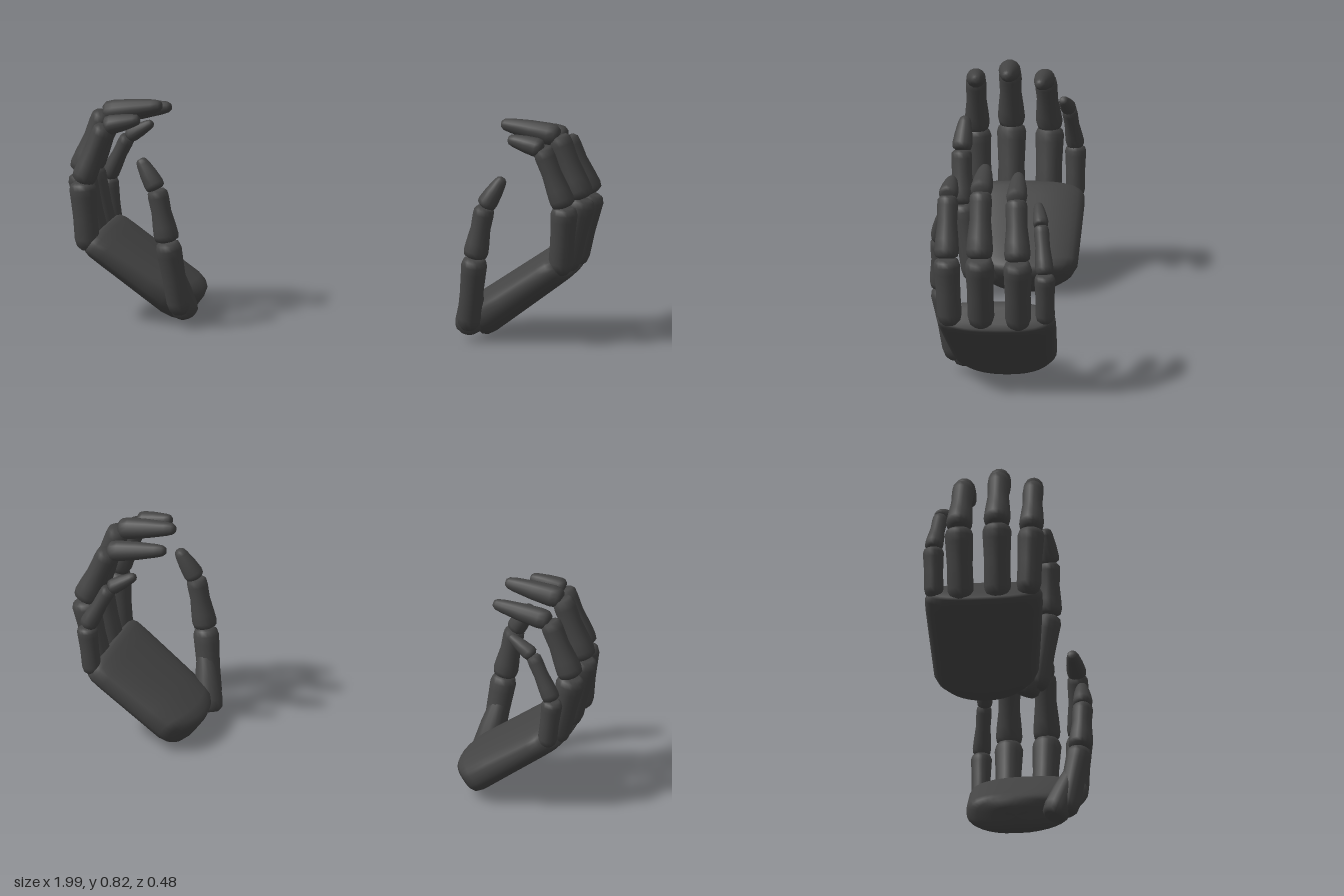
import * as THREE from 'three';

const material = new THREE.MeshStandardMaterial({ color: 0x444444 });

// Bone outlines: [fraction of radius, fraction of length]
const PROFILES = {
  lower: [[0, 0], [0.5, 0.02], [0.8, 0.08], [0.92, 0.18], [0.9, 0.5], [0.97, 0.8], [1, 0.9], [0.88, 0.97], [0.6, 1], [0, 1]],
  middle: [[0, 0], [0.6, 0], [0.92, 0.04], [1, 0.13], [0.94, 0.3], [0.8, 0.58], [0.84, 0.85], [0.8, 0.95], [0.6, 1], [0, 1]],
  tip: [[0, 0], [0.65, 0], [0.93, 0.06], [1, 0.18], [0.88, 0.5], [0.66, 0.83], [0.52, 0.95], [0.3, 1], [0, 1]],
};
const KINDS = ['lower', 'middle', 'tip'];

// Four joints [x, y, z] and three bone radii per digit
const DIGITS = {
  thumb: { joints: [[0.545, 0.06, 0.145], [0.583, 0.345, 0.195], [0.622, 0.54, 0.2], [0.688, 0.65, 0.19]], radii: [0.048, 0.046, 0.037] },
  indexFinger: { joints: [[0.895, 0.285, 0.148], [0.915, 0.545, 0.16], [0.83, 0.76, 0.16], [0.7, 0.79, 0.152]], radii: [0.05, 0.046, 0.036] },
  middleFinger: { joints: [[0.885, 0.275, 0.033], [0.95, 0.555, 0.036], [0.862, 0.785, 0.036], [0.645, 0.82, 0.032]], radii: [0.054, 0.05, 0.041] },
  ringFinger: { joints: [[0.885, 0.27, -0.103], [0.95, 0.545, -0.105], [0.86, 0.755, -0.095], [0.64, 0.79, -0.09]], radii: [0.053, 0.049, 0.039] },
  littleFinger: { joints: [[0.885, 0.295, -0.203], [0.908, 0.487, -0.203], [0.825, 0.65, -0.184], [0.73, 0.708, -0.168]], radii: [0.039, 0.034, 0.029] },
};

// One rounded finger bone between two points
function bone(name, a, b, radius, kind) {
  const dir = b.clone().sub(a);
  const length = dir.length();
  const outline = PROFILES[kind].map(([r, t]) => new THREE.Vector2(r * radius, t * length));
  const mesh = new THREE.Mesh(new THREE.LatheGeometry(outline, 14), material);
  mesh.name = name;
  mesh.position.copy(a);
  mesh.quaternion.setFromUnitVectors(new THREE.Vector3(0, 1, 0), dir.normalize());
  return mesh;
}

// Flattened palm: rounded sections from the wrist to the knuckles
function palm(side) {
  const rings = [[-0.02, 0], [-0.018, 0.45], [0, 0.78], [0.04, 0.93], [0.12, 1], [0.35, 1], [0.6, 1],
    [0.85, 1], [0.95, 0.99], [1, 0.94], [1.02, 0.85], [1.025, 0.5], [1.025, 0]];
  const count = 36;
  const positions = [];
  const indices = [];
  const round = (v) => Math.sign(v) * Math.abs(v) ** 0.78;
  for (const [t, size] of rings) {
    const mix = (a, b) => a + (b - a) * t;
    for (let i = 0; i < count; i++) {
      const angle = (i / count) * Math.PI * 2;
      const across = round(Math.cos(angle)) * size;
      const up = round(Math.sin(angle)) * size * mix(0.077, 0.066);
      // The wrist end bows outward at its middle
      const along = Math.max(0, 1 - t) ** 2 * 0.05 * across * across;
      positions.push(
        side * (mix(0.535, 0.88) - 0.6 * up + 0.8 * along),
        mix(0.065, 0.315) + 0.8 * up + 0.6 * along,
        mix(-0.038, -0.02) + across * mix(0.19, 0.222),
      );
    }
  }
  for (let r = 0; r < rings.length - 1; r++) {
    for (let i = 0; i < count; i++) {
      const a = r * count + i;
      const b = r * count + (i + 1) % count;
      const c = a + count;
      const d = b + count;
      if (side > 0) indices.push(a, c, b, b, c, d);
      else indices.push(a, b, c, b, d, c);
    }
  }
  const geometry = new THREE.BufferGeometry();
  geometry.setAttribute('position', new THREE.Float32BufferAttribute(positions, 3));
  geometry.setIndex(indices);
  geometry.computeVertexNormals();
  const mesh = new THREE.Mesh(geometry, material);
  mesh.name = 'palm';
  return mesh;
}

function hand(side) {
  const group = new THREE.Group();
  group.name = side > 0 ? 'leftHand' : 'rightHand';
  group.add(palm(side));
  for (const [name, { joints, radii }] of Object.entries(DIGITS)) {
    const digit = new THREE.Group();
    digit.name = name;
    const points = joints.map(([x, y, z]) => new THREE.Vector3(side * x, y, z));
    KINDS.forEach((kind, i) => digit.add(bone(`${kind}Bone`, points[i], points[i + 1], radii[i], kind)));
    group.add(digit);
  }
  // Fleshy base joining the thumb to the palm
  const base = bone('thumbBase', new THREE.Vector3(side * 0.535, 0.05, 0.1), new THREE.Vector3(side * 0.58, 0.28, 0.18), 0.052, 'tip');
  group.add(base);
  return group;
}

export function createModel() {
  const model = new THREE.Group();
  model.name = 'pairOfHands';
  model.add(hand(1), hand(-1));
  return model;
}
